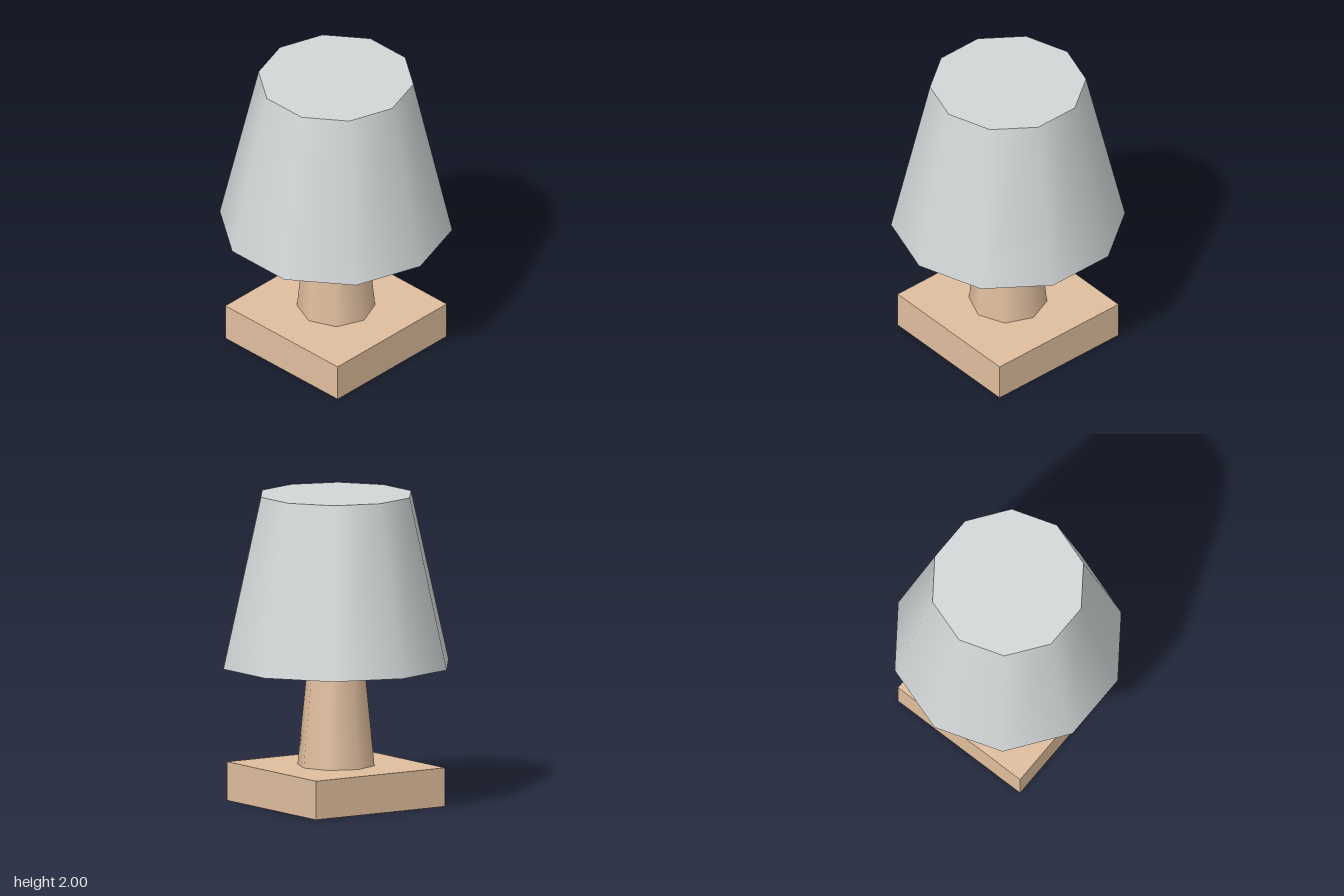
import * as THREE from 'three';

export function createModel() {
  const lamp = new THREE.Group();
  lamp.name = 'tableLamp';

  const wood = new THREE.MeshStandardMaterial({ color: 0xe0be9e });
  wood.name = 'pale wood';
  const fabric = new THREE.MeshStandardMaterial({ color: 0xd3d7d7 });
  fabric.name = 'light grey fabric';

  const add = (name, geometry, material, y) => {
    const mesh = new THREE.Mesh(geometry, material);
    mesh.name = name;
    mesh.position.y = y;
    lamp.add(mesh);
  };

  // Upright tapered part between two heights, with a corner on the x axis
  const taper = (name, topRadius, bottomRadius, y0, y1, sides, material) => {
    const geometry = new THREE.CylinderGeometry(topRadius, bottomRadius, y1 - y0, sides);
    geometry.rotateY(Math.PI / 2);
    add(name, geometry, material, (y0 + y1) / 2);
  };

  // Square foot
  add('base', new THREE.BoxGeometry(1, 0.25, 1), wood, 0.125);

  // Eight-sided stem, running just into the shade
  taper('stem', 0.18, 0.25, 0.25, 0.95, 8, wood);

  // Ten-sided closed shade
  taper('shade', 0.5, 0.75, 0.9, 2, 10, fabric);

  return lamp;
}
